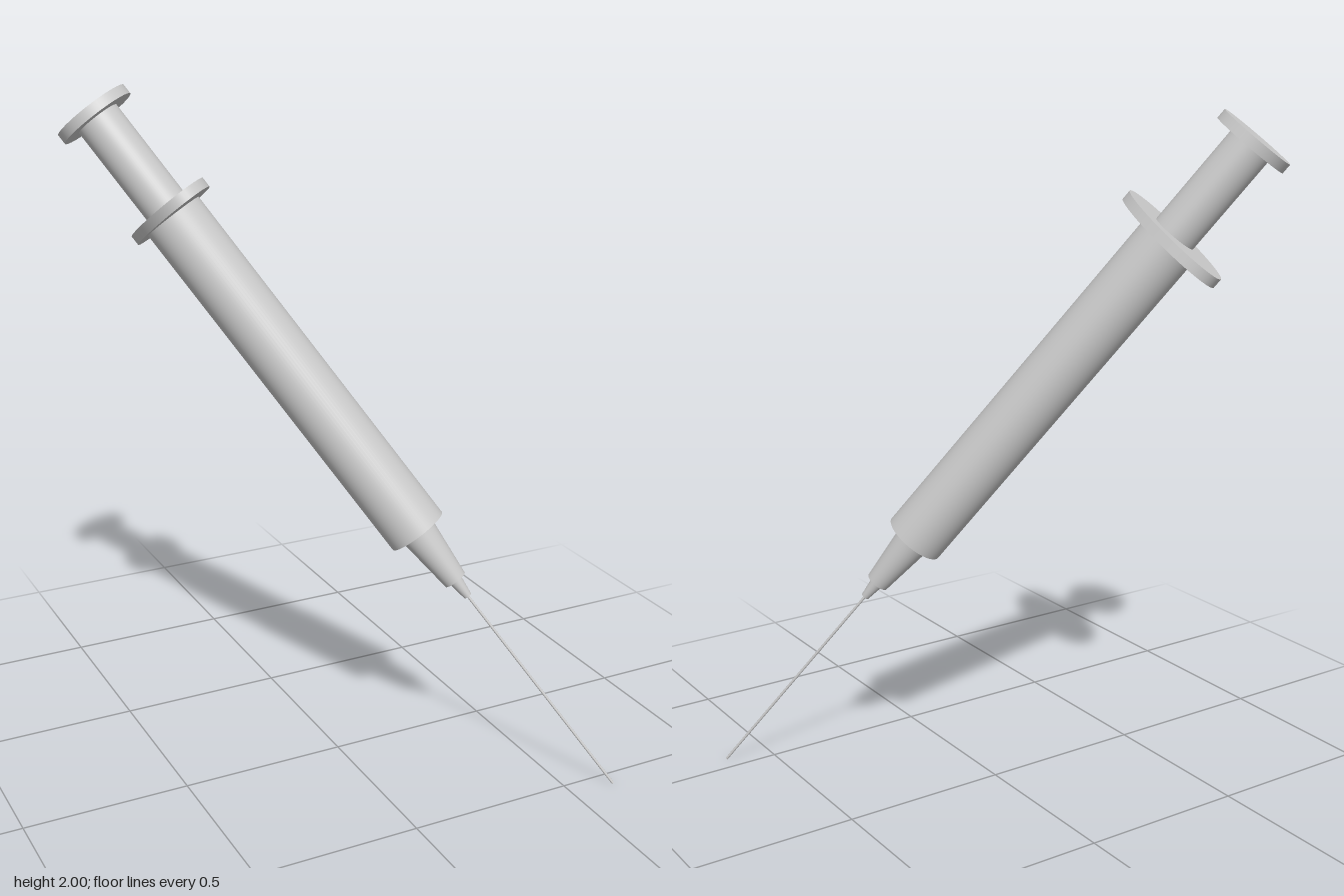
import * as THREE from 'three';

export function createModel() {
  const model = new THREE.Group();
  model.name = 'syringe';
  const material = new THREE.MeshStandardMaterial({ color: 0xcccccc });

  // A round section along the syringe axis: start, end, radius at start and at end
  const section = (name, from, to, r0, r1 = r0, sides = 64) => {
    const geometry = new THREE.CylinderGeometry(r1, r0, to - from, sides);
    geometry.translate(0, (from + to) / 2, 0);
    const mesh = new THREE.Mesh(geometry, material);
    mesh.name = name;
    model.add(mesh);
    return mesh;
  };

  // Needle point at the origin, everything stacked upwards
  section('needle', 0, 0.73, 0.004, 0.004, 16);
  section('needleSocket', 0.72, 0.784, 0.012, 0.021, 32);
  section('hub', 0.782, 0.967, 0.035, 0.055);
  section('barrel', 0.965, 2.11, 0.09);
  section('plungerRod', 2.11, 2.455, 0.066);
  section('thumbDisc', 2.445, 2.475, 0.1155);

  // Oval finger flange, long across the axis
  const flange = section('fingerFlange', 2.105, 2.135, 1);
  flange.geometry.scale(0.1175, 1, 0.216);

  // Lean the whole syringe on its needle point
  const tip = new THREE.Vector3(0.637, 0.003, 0.555);
  const top = new THREE.Vector3(-0.54, 1.928, -0.457);
  const axis = top.sub(tip).normalize();
  model.quaternion.setFromUnitVectors(new THREE.Vector3(0, 1, 0), axis);
  model.position.copy(tip);

  const root = new THREE.Group();
  root.add(model);
  return root;
}
